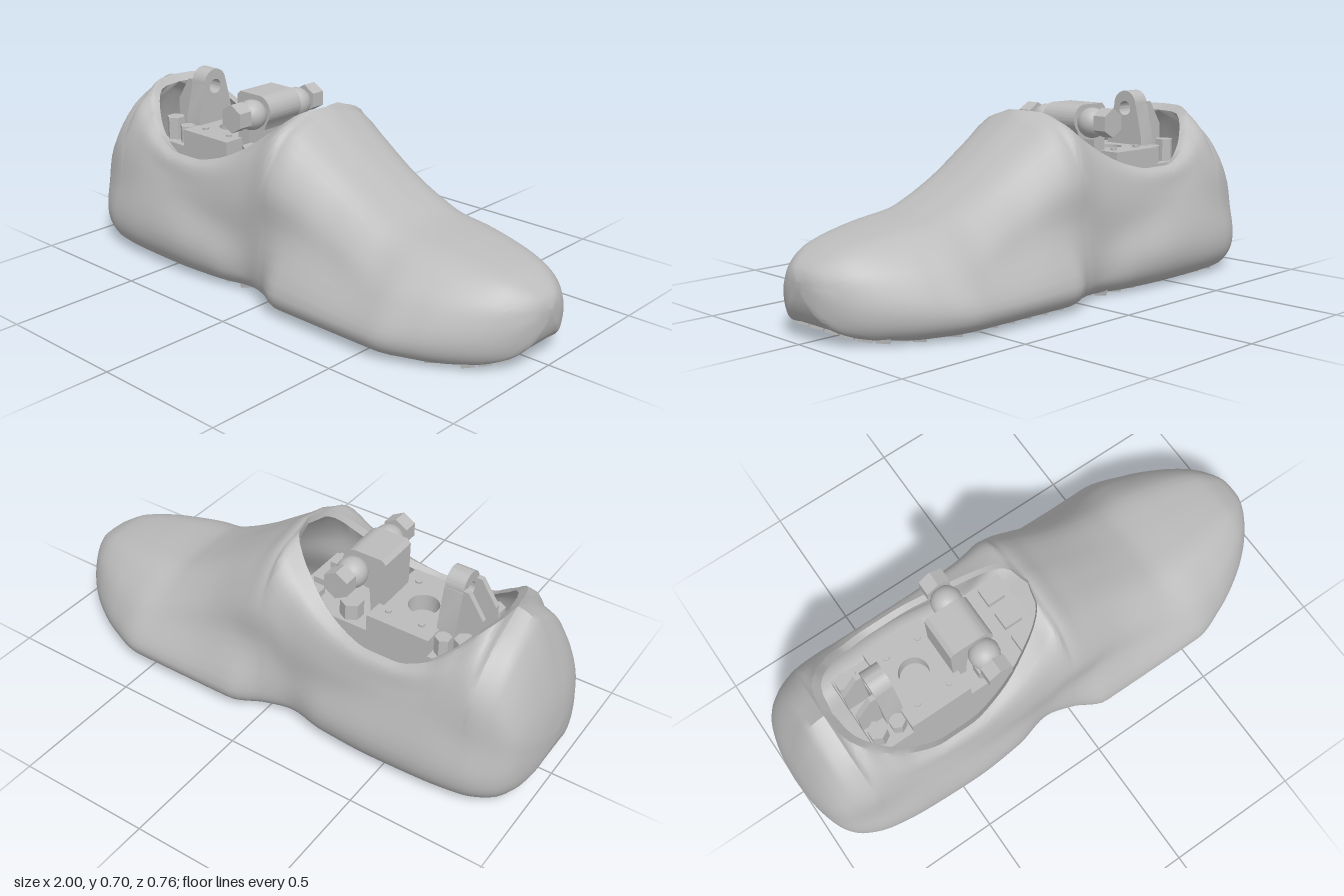
import * as THREE from 'three';
import { mergeGeometries, mergeVertices, toCreasedNormals } from 'three/addons/utils/BufferGeometryUtils.js';

const grey = new THREE.MeshStandardMaterial({ color: 0xbcbcbc });
grey.name = 'grey';

// Smooth monotone curve through [x, value] pairs
function track(...p) {
  const slope = p.slice(1).map((b, i) => (b[1] - p[i][1]) / (b[0] - p[i][0]));
  const tangent = p.map((_, i) => {
    if (i === 0) return slope[0];
    if (i === p.length - 1) return slope[i - 1];
    const a = slope[i - 1], b = slope[i];
    return a * b <= 0 ? 0 : (2 * a * b) / (a + b);
  });
  return (x) => {
    let i = 0;
    while (i < p.length - 2 && x > p[i + 1][0]) i++;
    const h = p[i + 1][0] - p[i][0];
    const t = THREE.MathUtils.clamp((x - p[i][0]) / h, 0, 1), s = 1 - t;
    return p[i][1] * s * s * (1 + 2 * t) + tangent[i] * h * t * s * s
      + p[i + 1][1] * t * t * (3 - 2 * t) - tangent[i + 1] * h * t * t * s;
  };
}

// Shoe proportions along its length, heel at -1 and toe at +1
const bottom = track([-1, 0.15], [-0.985, 0.09], [-0.95, 0.045], [-0.88, 0.01], [-0.8, 0], [0.7, 0], [0.85, 0.012], [0.93, 0.035], [0.975, 0.075], [0.993, 0.12], [1, 0.17]);
const halfWidth = track([-1, 0], [-0.995, 0.08], [-0.98, 0.16], [-0.95, 0.235], [-0.9, 0.285], [-0.8, 0.325], [-0.65, 0.345], [-0.45, 0.352],
  [-0.25, 0.335], [-0.1, 0.3], [0, 0.325], [0.12, 0.38], [0.55, 0.38], [0.7, 0.332], [0.8, 0.28], [0.9, 0.205], [0.96, 0.132], [0.99, 0.068], [1, 0]);
const bulgeY = track([-1, 0.17], [-0.9, 0.13], [-0.5, 0.15], [0, 0.1], [0.5, 0.09], [0.9, 0.12], [1, 0.18]);
const creaseWidth = track([-1, 0.98], [-0.85, 0.92], [-0.5, 0.88], [-0.25, 0.91], [-0.1, 0.98], [0, 0.92], [0.12, 0.8], [0.3, 0.8], [0.55, 0.87], [1, 0.92]);
const creaseY = track([-1, 0.185], [-0.95, 0.22], [-0.85, 0.25], [-0.6, 0.31], [-0.3, 0.25], [-0.1, 0.22], [0, 0.28], [0.12, 0.28], [0.3, 0.24], [0.55, 0.19], [0.9, 0.19], [1, 0.19]);
const upperWidth = track([-1, 0.9], [-0.85, 0.82], [-0.5, 0.83], [-0.25, 0.88], [-0.1, 0.97], [0, 0.9], [0.12, 0.74], [0.3, 0.68], [0.55, 0.72], [0.8, 0.76], [1, 0.8]);
const shoulder = track([-1, 0.78], [-0.9, 0.64], [-0.82, 0.58], [-0.7, 0.62], [-0.5, 0.74], [0, 0.75], [0.55, 0.82], [1, 0.82]);
const topY = track([-1, 0.2], [-0.985, 0.3], [-0.95, 0.42], [-0.9, 0.55], [-0.86, 0.62], [-0.8, 0.64], [-0.7, 0.55], [-0.6, 0.47], [-0.5, 0.44], [-0.4, 0.44],
  [-0.3, 0.46], [-0.2, 0.505], [-0.1, 0.58], [0.02, 0.667], [0.1, 0.61], [0.3, 0.47], [0.4, 0.41], [0.5, 0.365], [0.7, 0.335], [0.88, 0.3], [0.95, 0.265], [0.985, 0.235], [1, 0.2]);
const opening = track([-1, 0], [-0.8, 0], [-0.79, 0.08], [-0.77, 0.13], [-0.72, 0.18], [-0.65, 0.22], [-0.5, 0.252], [-0.4, 0.252],
  [-0.25, 0.225], [-0.1, 0.165], [-0.03, 0.12], [0, 0.08], [0.02, 0], [1, 0]);

// Closed ring at x: outer wall from rim to rim, then the inner wall back
function ring(x) {
  const w = halfWidth(x), yb = bottom(x) + 0.01, ym = bulgeY(x), yc = creaseY(x), top = topY(x), rim = opening(x);
  const wu = upperWidth(x) * w, yu = yc + (top - yc) * 0.44;
  const half = new THREE.CatmullRomCurve3([
    [0, yb], [w * 0.45, yb], [w * 0.81, yb], [w * 0.96, yb + (ym - yb) * 0.4], [w, ym], [creaseWidth(x) * w, yc],
    [wu, yu], [rim + (wu - rim) * 0.62, yu + (top - yu) * shoulder(x)], [rim, top],
  ].map(([z, y]) => new THREE.Vector3(x, y, z)), false, 'centripetal').getPoints(32);
  half.forEach((p) => { p.z = Math.max(0, p.z); });
  const outer = [...half.slice().reverse(), ...half.slice(1).map((p) => new THREE.Vector3(x, p.y, -p.z))];
  const mid = (yb + top) / 2;
  const inner = outer.map((p) => new THREE.Vector3(x * 0.965, mid + (p.y - mid) * 0.92, p.z * 0.92)).reverse();
  return [...outer, ...inner];
}

function shellGeometry() {
  const xs = [-0.8, -0.795, -0.79, -0.78, -0.01, 0.01, 0.02];
  for (let i = 0; i <= 120; i++) xs.push(-Math.cos((i / 120) * Math.PI));
  const rings = xs.sort((a, b) => a - b).map(ring), n = rings[0].length;
  const index = [];
  for (let i = 0; i < rings.length - 1; i++) {
    for (let j = 0; j < n; j++) {
      const a = i * n + j, b = i * n + (j + 1) % n;
      index.push(a, b, a + n, b, b + n, a + n);
    }
  }
  const geometry = new THREE.BufferGeometry().setFromPoints(rings.flat());
  geometry.setIndex(index);
  return toCreasedNormals(mergeVertices(geometry, 1e-5), 0.8);
}

// Staggered diamond lugs that follow the sole, clear of the four pads
const padX = [-0.59, -0.19], padZ = 0.09;
function treadGeometry() {
  const lugs = [];
  for (let i = -23; i <= 23; i++) {
    for (let j = -9; j <= 9; j++) {
      const x = i * 0.039, z = j * 0.039;
      const nearPad = padX.some((p) => Math.abs(x - p) < 0.09 && Math.abs(Math.abs(z) - padZ) < 0.04);
      if ((i + j) % 2 || nearPad || Math.abs(z) > halfWidth(x) * 0.84 - 0.025) continue;
      const lug = new THREE.CylinderGeometry(0.037, 0.03, 0.02, 4);
      // Tilt each lug with the slope of the sole
      lug.rotateZ(Math.atan((bottom(x + 0.02) - bottom(x - 0.02)) / 0.04));
      lugs.push(lug.translate(x, bottom(x) + 0.01, z));
    }
  }
  return toCreasedNormals(mergeGeometries(lugs), 0.3);
}

export function createModel() {
  const model = new THREE.Group();
  const add = (name, geometry, x = 0, y = 0, z = 0) => {
    const mesh = new THREE.Mesh(geometry, grey);
    mesh.name = name;
    mesh.position.set(x, y, z);
    model.add(mesh);
    return mesh;
  };
  const box = (name, x0, x1, y0, y1, z0, z1) =>
    add(name, new THREE.BoxGeometry(x1 - x0, y1 - y0, z1 - z0), (x0 + x1) / 2, (y0 + y1) / 2, (z0 + z1) / 2);
  const rod = (r, h, sides = 24) => toCreasedNormals(new THREE.CylinderGeometry(r, r, h, sides), 0.6);

  add('shoeShell', shellGeometry());
  add('soleTread', treadGeometry());
  for (const x of padX) for (const s of [-1, 1]) box('solePad', x - 0.06, x + 0.06, 0, 0.03, s * padZ - 0.02, s * padZ + 0.02);

  // Ankle mount inside the opening
  box('mountPedestal', -0.66, -0.06, 0.05, 0.36, -0.14, 0.14);
  box('mountPlate', -0.71, 0, 0.36, 0.43, -0.16, 0.16);
  const deck = new THREE.Shape().moveTo(-0.57, -0.16).lineTo(-0.33, -0.16).lineTo(-0.33, 0.16).lineTo(-0.57, 0.16).closePath();
  deck.holes.push(new THREE.Path().absarc(-0.46, 0, 0.055, 0, Math.PI * 2, true));
  add('mountDeck', new THREE.ExtrudeGeometry(deck, { depth: 0.07, bevelEnabled: false, curveSegments: 24 }), 0, 0.495, 0).rotation.x = Math.PI / 2;
  for (const s of [-1, 1]) {
    for (const x of [-0.51, -0.38]) add('deckScrew', rod(0.012, 0.01, 12), x, 0.498, s * 0.1);
    add('rearBolt', rod(0.035, 0.09, 6), -0.675, 0.47, s * 0.105);
    add('rearNut', rod(0.03, 0.07, 6), -0.6, 0.46, s * 0.11);
    add('frontBolt', rod(0.042, 0.06, 6), -0.24, 0.46, s * 0.11);
  }
  for (const z of [-0.105, 0, 0.105]) box('frontSocket', -0.1, -0.03, 0.43, 0.455, z - 0.035, z + 0.035);

  // Rear ear with a cross hole, braced by a sloping rib
  const ear = new THREE.Shape().moveTo(-0.085, 0.42).lineTo(0.085, 0.42).lineTo(0.085, 0.52).lineTo(0.055, 0.65)
    .absarc(0, 0.65, 0.053, 0, Math.PI, false).lineTo(-0.085, 0.52).closePath();
  ear.holes.push(new THREE.Path().absarc(0, 0.635, 0.028, 0, Math.PI * 2, true));
  const earMesh = add('rearEar', toCreasedNormals(new THREE.ExtrudeGeometry(ear, { depth: 0.07, bevelEnabled: false, curveSegments: 20 }), 0.5), -0.63, 0, 0);
  earMesh.rotation.y = Math.PI / 2;
  const rib = new THREE.Shape().moveTo(-0.71, 0.43).lineTo(-0.63, 0.43).lineTo(-0.63, 0.66).lineTo(-0.65, 0.66).lineTo(-0.71, 0.57).closePath();
  for (const s of [-1, 1]) add('rearRib', new THREE.ExtrudeGeometry(rib, { depth: 0.02, bevelEnabled: false }), 0, 0, s * 0.045 - 0.01);

  // Front clevis with a cross pin, bearings and hex heads
  const clevis = new THREE.Shape().moveTo(-0.35, 0.42).lineTo(-0.35, 0.66).lineTo(-0.335, 0.675).lineTo(-0.235, 0.675)
    .absarc(-0.235, 0.62, 0.055, Math.PI / 2, -Math.PI / 4, true).lineTo(-0.21, 0.55).lineTo(-0.29, 0.54).lineTo(-0.3, 0.42).closePath();
  add('frontClevis', toCreasedNormals(new THREE.ExtrudeGeometry(clevis, { depth: 0.16, bevelEnabled: false }), 0.5), 0, 0, -0.08);
  add('crossPin', rod(0.03, 0.4), -0.24, 0.61, 0).rotation.x = Math.PI / 2;
  for (const s of [-1, 1]) {
    add('pinBearing', new THREE.SphereGeometry(0.056, 20, 14), -0.24, 0.61, s * 0.115);
    add('pinHead', rod(0.053, 0.055, 6), -0.24, 0.615, s * 0.188).rotation.x = Math.PI / 2;
  }
  return model;
}
